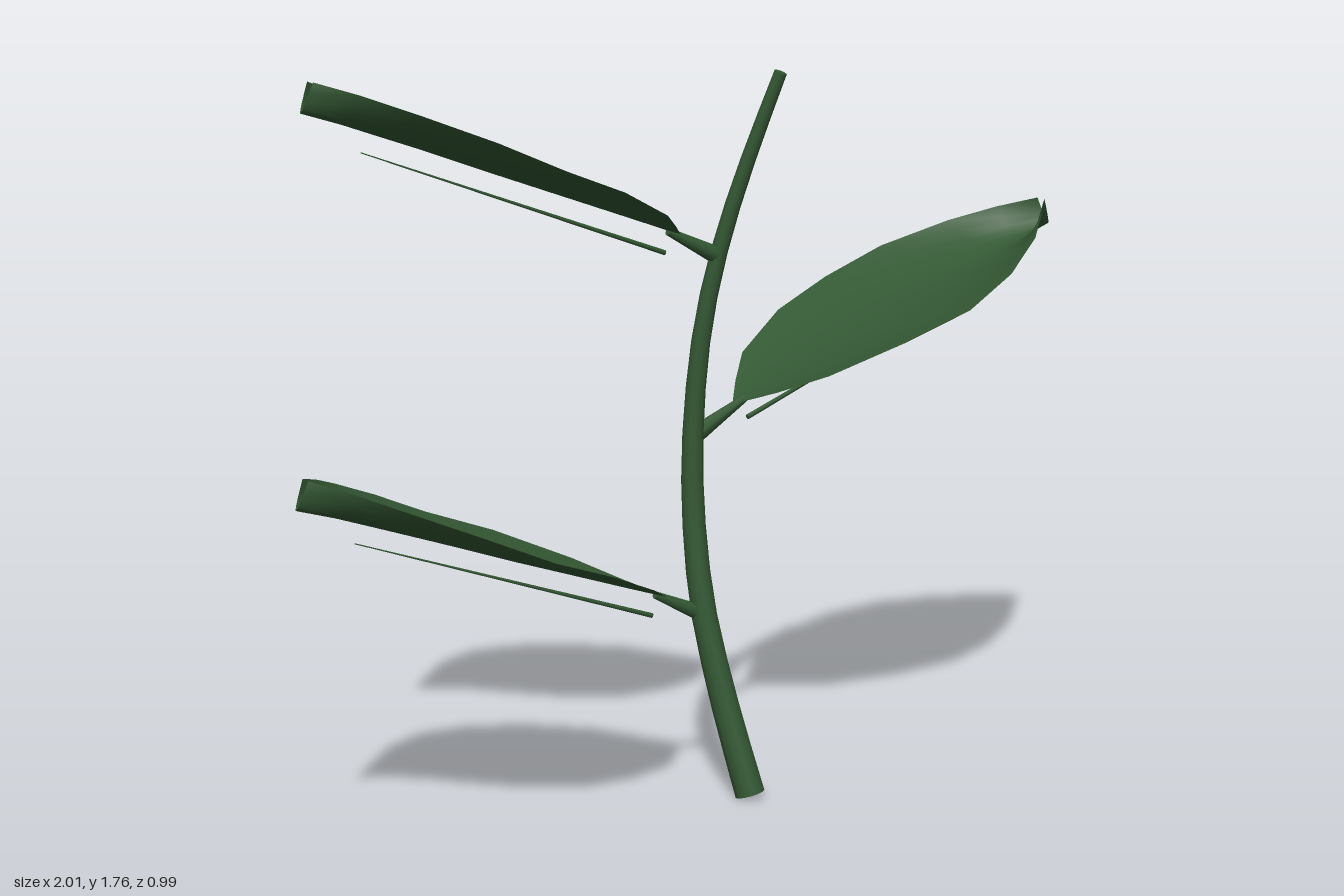
import * as THREE from 'three';

const green = new THREE.MeshStandardMaterial({ color: 0x34583a, side: THREE.DoubleSide });
green.name = 'leaf green';
green.color.set(0x345834);

const V = (x, y, z) => new THREE.Vector3(x, y, z);

function mesh(geometry, name) {
  const m = new THREE.Mesh(geometry, green);
  m.name = name;
  return m;
}

// Tapered rod between two points
function rod(a, b, ra, rb, name) {
  const dir = b.clone().sub(a);
  const m = mesh(new THREE.CylinderGeometry(rb, ra, dir.length(), 8), name);
  m.position.copy(a).add(b).multiplyScalar(0.5);
  m.quaternion.setFromUnitVectors(V(0, 1, 0), dir.normalize());
  return m;
}

// Bent stem: a tube narrowed towards the top, with flat end caps
function makeStem() {
  const group = new THREE.Group();
  group.name = 'stem';
  const curve = new THREE.CatmullRomCurve3([
    V(0.097, 0.01, 0.093), V(0.045, 0.23, 0.052), V(0, 0.47, 0.018),
    V(-0.016, 0.72, -0.006), V(-0.012, 0.92, -0.009), V(0.008, 1.13, 0),
    V(0.045, 1.32, 0.02), V(0.1, 1.52, 0.053), V(0.163, 1.72, 0.095),
  ]);
  const rings = 16, sides = 12;
  const radius = (t) => 0.036 - 0.021 * t;
  const geo = new THREE.TubeGeometry(curve, rings, 1, sides);
  const pos = geo.attributes.position, p = V(0, 0, 0);
  for (let i = 0; i < pos.count; i++) {
    const t = Math.floor(i / (sides + 1)) / rings;
    const c = curve.getPointAt(t);
    p.fromBufferAttribute(pos, i).sub(c).multiplyScalar(radius(t)).add(c);
    pos.setXYZ(i, p.x, p.y, p.z);
  }
  group.add(mesh(geo, 'stemTube'));
  for (const t of [0, 1]) {
    const cap = mesh(new THREE.CircleGeometry(radius(t), sides), t ? 'stemTop' : 'stemBase');
    cap.position.copy(curve.getPointAt(t));
    cap.quaternion.setFromUnitVectors(V(0, 0, 1), curve.getTangentAt(t).multiplyScalar(t ? 1 : -1));
    group.add(cap);
  }
  return group;
}

// Cupped blade lofted from rows: [distance along, half width, edge height, middle height]
const ROWS = [
  [0, 0.01, 0.5, 0.498], [0.061, 0.085, 0.53, 0.521], [0.145, 0.175, 0.575, 0.552],
  [0.31, 0.255, 0.65, 0.612], [0.475, 0.283, 0.712, 0.672], [0.625, 0.253, 0.78, 0.727],
  [0.77, 0.168, 0.842, 0.778], [0.86, 0.085, 0.88, 0.81], [0.93, 0.013, 0.905, 0.84],
];

function bladeGeometry() {
  const cols = 10, positions = [], index = [];
  const [ax, az] = [-0.946, 0.326];
  ROWS.forEach(([along, width, edge, middle], r) => {
    for (let c = 0; c <= cols; c++) {
      const s = (c / cols) * 2 - 1;
      // the last row is pushed out in the middle to form the point
      const u = along + (r === ROWS.length - 1 ? 0.025 * (1 - s * s) : 0);
      const v = s * width;
      positions.push(-0.1 + ax * u + az * v, middle + (edge - middle) * s * s, 0.05 + az * u - ax * v);
      if (r && c) {
        const d = r * (cols + 1) + c, b = d - cols - 1;
        index.push(b - 1, b, d - 1, b, d, d - 1);
      }
    }
  });
  const geo = new THREE.BufferGeometry();
  geo.setAttribute('position', new THREE.Float32BufferAttribute(positions, 3));
  geo.setIndex(index);
  geo.computeVertexNormals();
  return geo;
}

function makeLeaf(name) {
  const leaf = new THREE.Group();
  leaf.name = name;
  leaf.add(mesh(bladeGeometry(), 'blade'));
  leaf.add(rod(V(0, 0.44, 0.015), V(-0.125, 0.506, 0.058), 0.021, 0.009, 'leafStalk'));
  leaf.add(rod(V(-0.135, 0.459, 0.066), V(-0.87, 0.747, 0.318), 0.006, 0.0012, 'midrib'));
  return leaf;
}

export function createModel() {
  const plant = new THREE.Group();
  plant.name = 'plantSprig';
  plant.add(makeStem());

  // Three leaves alternating up the stem
  const lower = makeLeaf('lowerLeaf');
  const middle = makeLeaf('middleLeaf');
  middle.rotation.y = Math.PI;
  middle.position.y = 0.43;
  const upper = makeLeaf('upperLeaf');
  upper.position.set(0.033, 0.855, 0);
  plant.add(lower, middle, upper);
  return plant;
}
